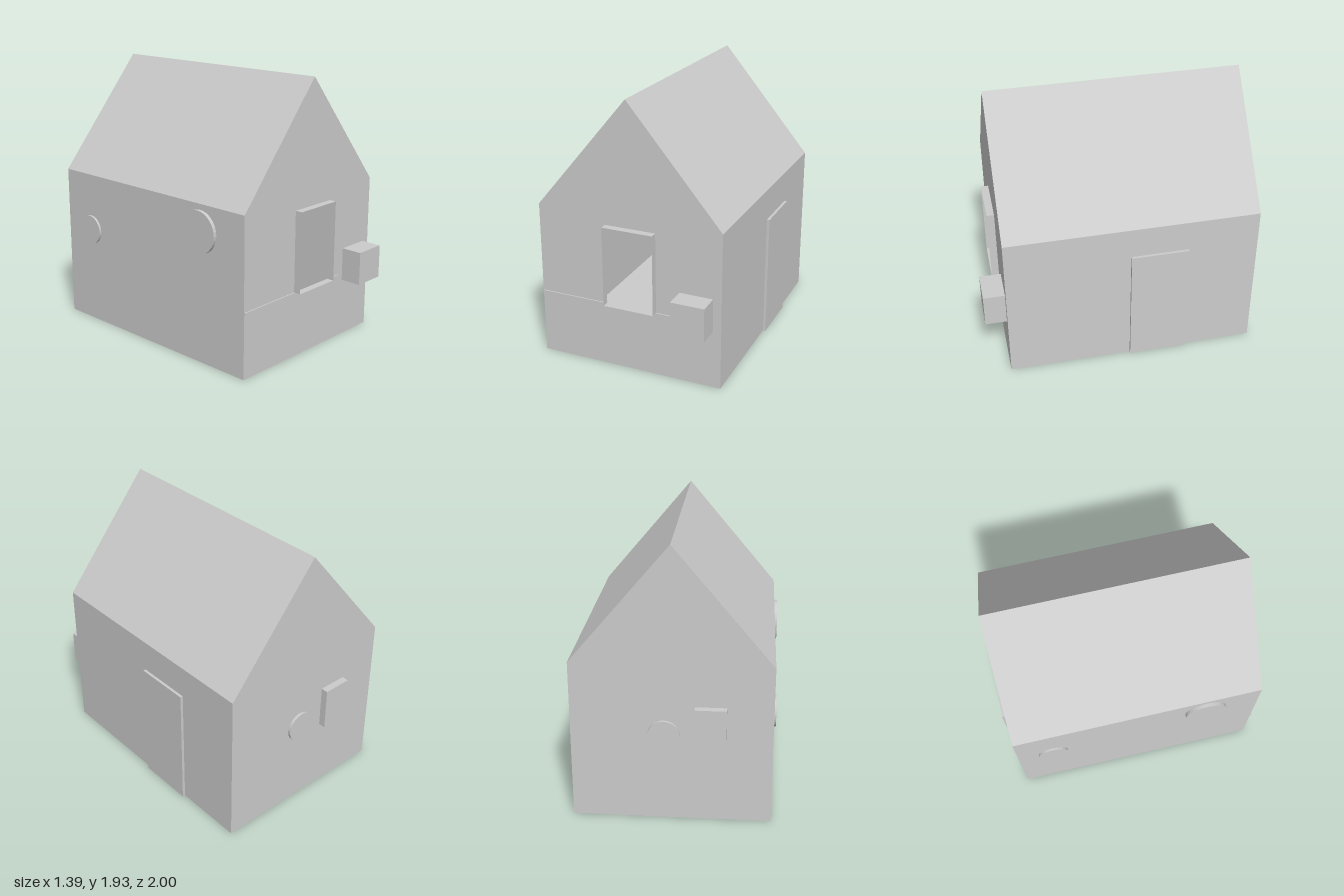
import * as THREE from 'three';

const FRONT = 0.847, BACK = -0.95, HALF = 0.675;

export function createModel() {
  const house = new THREE.Group();
  house.name = 'house';
  const material = new THREE.MeshStandardMaterial({ color: 0xcccccc, flatShading: true, side: THREE.DoubleSide });

  const add = (name, geometry, x = 0, y = 0, z = 0) => {
    const mesh = new THREE.Mesh(geometry, material);
    mesh.name = name;
    mesh.position.set(x, y, z);
    house.add(mesh);
    return mesh;
  };

  // Box given by its limits on each axis
  const addBox = (name, [x0, x1], [y0, y1], [z0, z1]) =>
    add(name, new THREE.BoxGeometry(x1 - x0, y1 - y0, z1 - z0), (x0 + x1) / 2, (y0 + y1) / 2, (z0 + z1) / 2);

  // Open sleeve: a counterclockwise outline swept straight from z0 to z1
  const sleeve = (outline, z0, z1) => {
    const positions = [], index = [];
    outline.forEach(([ax, ay], i) => {
      const [bx, by] = outline[(i + 1) % outline.length];
      const n = i * 4;
      positions.push(ax, ay, z1, ax, ay, z0, bx, by, z0, bx, by, z1);
      index.push(n, n + 1, n + 2, n, n + 2, n + 3);
    });
    const geometry = new THREE.BufferGeometry();
    geometry.setAttribute('position', new THREE.Float32BufferAttribute(positions, 3));
    geometry.setIndex(index);
    geometry.computeVertexNormals();
    return geometry;
  };

  const gable = [[-HALF, 0], [HALF, 0], [HALF, 1.13], [0, 1.935], [-HALF, 1.13]];
  const opening = [[-0.168, 0.475], [0.202, 0.475], [0.202, 1.055], [-0.168, 1.055]];
  const points = (outline) => outline.map(([x, y]) => new THREE.Vector2(x, y));

  // Hollow shell: floor, side walls and roof, closed by two gable walls
  add('wallsAndRoof', sleeve(gable, BACK, FRONT));
  const frontShape = new THREE.Shape(points(gable));
  frontShape.holes.push(new THREE.Path(points(opening)));
  add('frontWall', new THREE.ShapeGeometry(frontShape), 0, 0, FRONT);
  const backWall = add('backWall', new THREE.ShapeGeometry(new THREE.Shape(points(gable))), 0, 0, BACK);
  backWall.rotation.y = Math.PI;

  // Open window frame standing out from the front wall
  add('windowFrame', sleeve(opening, FRONT, 0.9));

  // Front ledge and box, side door, back window
  addBox('ledge', [-HALF, 0.325], [0.455, 0.475], [FRONT, 0.856]);
  addBox('frontBox', [0.375, 0.615], [0.42, 0.66], [FRONT, 1]);
  addBox('door', [HALF, 0.695], [0, 0.9], [-0.447, -0.035]);
  addBox('backWindow', [-0.368, -0.157], [0.53, 0.84], [-1, BACK]);

  // Round windows on the back and on the right-hand wall
  const disc = (radius, depth) => new THREE.CylinderGeometry(radius, radius, depth, 32);
  add('backRoundWindow', disc(0.108, 0.02), 0.05, 0.627, BACK - 0.01).rotation.x = Math.PI / 2;
  add('smallRoundWindow', disc(0.108, 0.016), -HALF - 0.008, 0.71, -0.69).rotation.z = Math.PI / 2;
  add('largeRoundWindow', disc(0.15, 0.025), -HALF - 0.0125, 0.94, 0.45).rotation.z = Math.PI / 2;

  return house;
}
